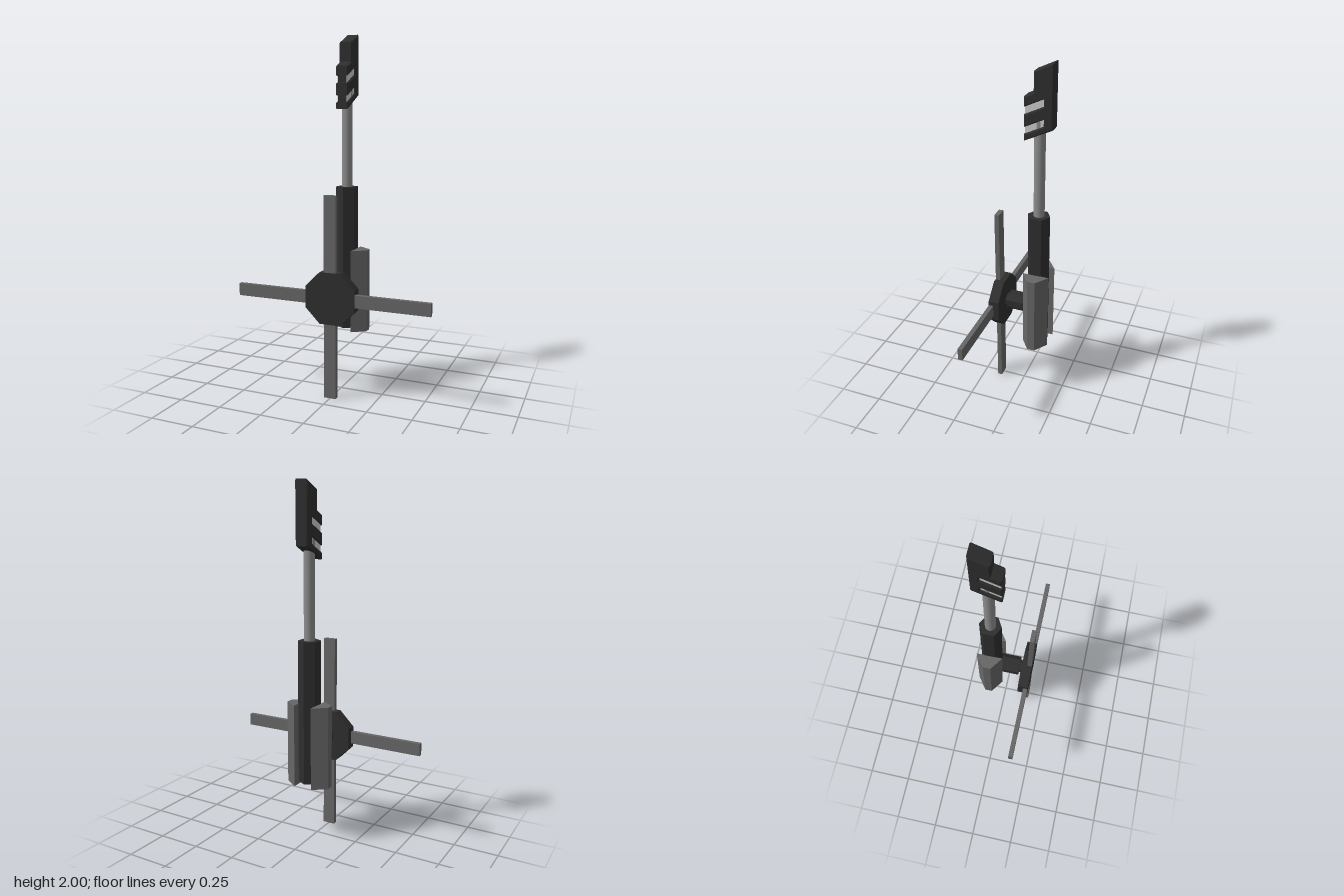
import * as THREE from 'three';

const material = (color) => new THREE.MeshStandardMaterial({ color, flatShading: true });
const dark = material(0x2e2e2e);
const grey = material(0x666666);
const steel = new THREE.MeshStandardMaterial({ color: 0x8c8c8c });
const light = material(0xcccccc);

const HUB_Y = 0.567, BODY_Z = -0.085;

export function createModel() {
  const model = new THREE.Group();

  const add = (name, geometry, mat, x = 0, y = 0, z = 0) => {
    const mesh = new THREE.Mesh(geometry, mat);
    mesh.name = name;
    mesh.position.set(x, y, z);
    model.add(mesh);
    return mesh;
  };

  // Octagonal prism along z, flat side up, sized by its half width
  const octagon = (halfWidth, depth) => {
    const r = halfWidth / Math.cos(Math.PI / 8);
    return new THREE.CylinderGeometry(r, r, depth, 8).rotateY(Math.PI / 8).rotateX(Math.PI / 2);
  };

  // Side profile of [z, y] points, extruded across x
  const sideProfile = (points, width, bevel = 0) => {
    const shape = new THREE.Shape(points.map(([z, y]) => new THREE.Vector2(z, y)));
    const depth = width - 2 * bevel;
    return new THREE.ExtrudeGeometry(shape, {
      depth, bevelEnabled: bevel > 0, bevelSize: bevel, bevelThickness: bevel,
      bevelOffset: -bevel, bevelSegments: 1,
    }).translate(0, 0, -depth / 2).rotateY(-Math.PI / 2);
  };

  // Rotor: hub, four flat blades and the drive shaft
  add('hub', octagon(0.145, 0.06), dark, 0, HUB_Y, 0.135);
  for (let i = 0; i < 4; i++) {
    const blade = new THREE.BoxGeometry(0.07, 0.437, 0.026).translate(0, 0.348, 0);
    add('blade', blade, grey, 0, HUB_Y, 0.1505).rotation.z = i * Math.PI / 2;
  }
  add('driveShaft', octagon(0.035, 0.04), dark, 0, HUB_Y, 0.092);
  add('driveHousing', octagon(0.052, 0.13), dark, 0, HUB_Y + 0.004, 0.023);

  // Six-sided sleeve with the sliding rod above it
  add('sleeve', new THREE.CylinderGeometry(0.063, 0.063, 0.81, 6), dark, 0, 0.755, BODY_Z);
  add('rod', new THREE.CylinderGeometry(0.03, 0.03, 0.58, 32), steel, 0, 1.41, BODY_Z);

  // Tapered side weights
  for (const s of [1, -1]) {
    const shape = new THREE.Shape([
      [0.053, 0.01], [0.13, 0.065], [0.13, 0.108], [0.053, 0.163],
    ].map(([x, z]) => new THREE.Vector2(s * x, z)));
    const weight = new THREE.ExtrudeGeometry(shape, { depth: 0.47, bevelEnabled: false });
    add(s > 0 ? 'leftWeight' : 'rightWeight', weight.rotateX(-Math.PI / 2), grey, 0, 0.335, 0);
  }

  // Slanted head with two slots cut in from the front
  const FRONT = -0.009, SLOT = -0.114, SLOPE = 0.48;
  const rise = (z) => (FRONT - z) * SLOPE;
  const slots = [[1.627, 1.663], [1.73, 1.768]];
  const profile = [[-0.163, 2], [-0.163, 1.59 + rise(-0.163)], [FRONT, 1.59]];
  for (const [low, high] of slots) {
    profile.push([FRONT, low], [SLOT, low + rise(SLOT)], [SLOT, high + rise(SLOT)], [FRONT, high]);
  }
  profile.push([FRONT, 1.822], [-0.06, 1.847], [-0.06, 1.952]);
  add('head', sideProfile(profile, 0.076, 0.007), dark);

  // Dark core with pale side strips inside each slot
  for (const [low, high] of slots) {
    const z = -0.014, back = SLOT - 0.01;
    const fill = [
      [z, low - 0.008 + rise(z)], [z, high + 0.008 + rise(z)],
      [back, high + 0.008 + rise(back)], [back, low - 0.008 + rise(back)],
    ];
    add('slotCore', sideProfile(fill, 0.048), dark);
    for (const s of [1, -1]) add('slotStrip', sideProfile(fill, 0.004), light, s * 0.026);
  }

  return model;
}
